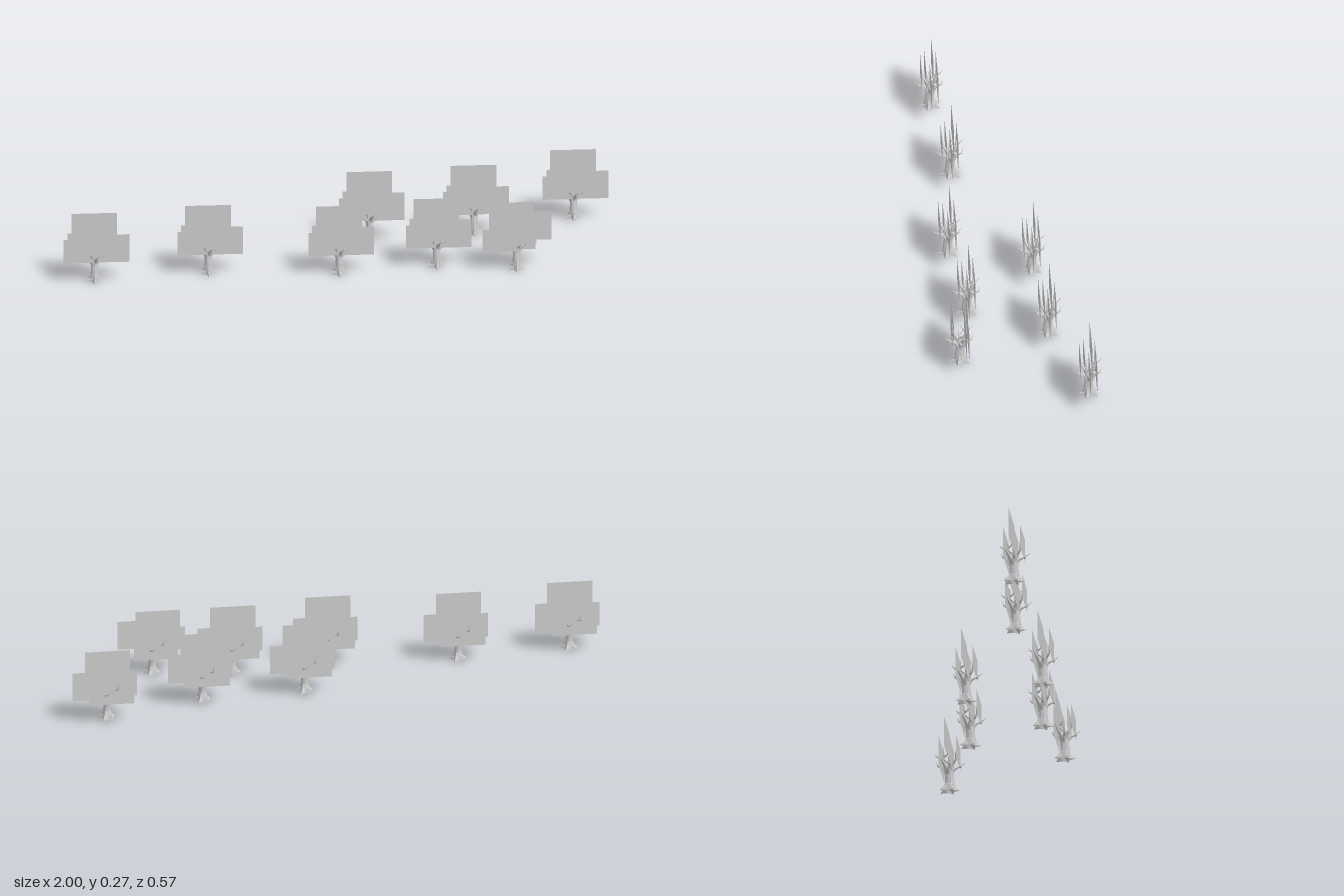
import * as THREE from 'three';
import { mergeGeometries } from 'three/addons/utils/BufferGeometryUtils.js';

const V = (p) => new THREE.Vector3(...p);

// Tapered limb: rings of `sides` corners along a curve, radius(t, corner) sets the section
function limb(points, radius, sides, steps) {
  const curve = new THREE.CatmullRomCurve3(points.map(V));
  const pos = [], index = [];
  const up = new THREE.Vector3(0, 1, 0);
  for (let i = 0; i <= steps; i++) {
    const t = i / steps;
    const c = curve.getPoint(t);
    const q = new THREE.Quaternion().setFromUnitVectors(up, curve.getTangent(t));
    for (let j = 0; j < sides; j++) {
      const a = (j / sides) * Math.PI * 2;
      const r = radius(t, j);
      const p = new THREE.Vector3(Math.sin(a) * r, 0, Math.cos(a) * r).applyQuaternion(q).add(c);
      pos.push(p.x, p.y, p.z);
      if (i < steps) {
        const k = (j + 1) % sides, b = i * sides, n = b + sides;
        index.push(b + j, b + k, n + k, b + j, n + k, n + j);
      }
    }
  }
  const g = new THREE.BufferGeometry();
  g.setAttribute('position', new THREE.Float32BufferAttribute(pos, 3));
  g.setIndex(index);
  return g;
}

// Trunk with a flared foot; every second corner spreads out as a pointed root
function trunkGeometry() {
  const flare = [0.027, 0.0205, 0.0175, 0.0165, 0.016, 0.016, 0.016, 0.010];
  const steps = flare.length - 1;
  const g = limb(
    [[0, 0, -0.003], [0, 0.035, 0], [0, 0.07, -0.003], [0, 0.105, -0.005]],
    (t, j) => {
      const root = Math.max(0, 1 - t * 4);
      return flare[Math.round(t * steps)] * (1 + (j % 2 ? -0.22 : 0.55) * root);
    }, 10, steps);
  // narrower across than deep, with the foot flat on the ground
  const p = g.attributes.position;
  for (let j = 0; j < p.count; j++) {
    p.setX(j, p.getX(j) * 0.8);
    if (j < 10) p.setY(j, 0);
  }
  return g;
}

// Main boughs: start height, bend point, tip
const boughs = [
  [0.078, [0.008, 0.096, 0.030], [0.013, 0.116, 0.056]],
  [0.088, [-0.018, 0.118, 0.024], [-0.022, 0.157, 0.030]],
  [0.078, [0.009, 0.096, -0.028], [0.015, 0.107, -0.048]],
  [0.088, [-0.028, 0.112, -0.026], [-0.045, 0.150, -0.033]],
  [0.08, [0.032, 0.098, 0.002], [0.057, 0.122, 0.005]],
  [0.078, [-0.030, 0.094, 0.002], [-0.055, 0.115, 0.000]],
  [0.092, [0.003, 0.133, -0.022], [-0.002, 0.171, -0.022]],
  [0.088, [0.028, 0.118, -0.014], [0.046, 0.152, -0.026]],
];

function boughGeometry() {
  const parts = [];
  boughs.forEach(([h, bend, tip], i) => {
    const path = [[bend[0] * 0.15, h - 0.014, bend[2] * 0.15 - 0.004],
      [bend[0] * 0.6, (h + bend[1]) / 2, bend[2] * 0.6 - 0.003], bend, tip];
    parts.push(limb(path, (t) => 0.0092 * (1 - t) + 0.0004, 5, 6));
    // one twig forks off, on alternating sides
    const s = i % 2 ? 1 : -1;
    const dx = tip[0] - bend[0], dz = tip[2] - bend[2];
    const l = 0.02 / Math.hypot(dx, dz);
    const at = bend.map((v, k) => v + (tip[k] - v) * 0.12);
    const mid = [at[0] + (dx * 0.5 - s * dz * 0.6) * l, at[1] + 0.004, at[2] + (dz * 0.5 + s * dx * 0.6) * l];
    const end = [at[0] + (dx * 0.6 - s * dz) * l, at[1] + 0.018, at[2] + (dz * 0.6 + s * dx) * l];
    parts.push(limb([at, mid, end], (t) => 0.004 * (1 - t) + 0.0003, 4, 3));
  });
  return mergeGeometries(parts);
}

// Foliage cards: left, right, bottom, top, depth
const cards = {
  crownCard: [-0.083, 0.082, 0.145, 0.258, -0.01],
  rightCard: [-0.112, 0.024, 0.075, 0.166, 0.012],
  leftCard: [-0.034, 0.126, 0.07, 0.177, -0.002],
  frontCard: [-0.067, 0.066, 0.107, 0.193, 0.03],
  backCard: [-0.096, 0.070, 0.06, 0.175, -0.028],
};
const shiftedCards = {
  crownCard: [-0.097, 0.064, 0.135, 0.247, -0.026],
  rightCard: [-0.123, 0.014, 0.075, 0.163, 0.022],
  leftCard: [-0.032, 0.128, 0.103, 0.21, -0.018],
  frontCard: [-0.064, 0.07, 0.107, 0.187, 0.03],
  backCard: [-0.09, 0.07, 0.062, 0.172, -0.03],
};

// Tree positions: x, ground height, z
const spots = [
  [-0.885, 0, 0.227], [-0.472, 0, 0.179], [-0.002, 0, 0.216], [0.352, 0, 0.169], [0.637, 0, 0.211],
  [0.127, 0.01, -0.079], [0.505, 0.01, -0.114], [0.872, 0.01, -0.238],
];

export function createModel() {
  const bark = new THREE.MeshStandardMaterial({ color: 0xcccccc, flatShading: true, side: THREE.DoubleSide });
  const leaf = new THREE.MeshStandardMaterial({ color: 0xcccccc, side: THREE.DoubleSide });
  const trunk = trunkGeometry();
  const branches = boughGeometry();
  for (const g of [trunk, branches]) g.computeVertexNormals();

  const model = new THREE.Group();
  model.name = 'treeGrove';
  spots.forEach((spot, i) => {
    const tree = new THREE.Group();
    tree.name = `tree${i + 1}`;
    tree.position.set(...spot);
    const add = (name, geometry, material) => {
      const m = new THREE.Mesh(geometry, material);
      m.name = name;
      tree.add(m);
      return m;
    };
    add('trunk', trunk, bark);
    add('branches', branches, bark);
    // one tree carries a slightly different spread of foliage
    for (const [name, [x0, x1, y0, y1, z]] of Object.entries(i === 4 ? shiftedCards : cards)) {
      add(name, new THREE.PlaneGeometry(x1 - x0, y1 - y0), leaf)
        .position.set((x0 + x1) / 2, (y0 + y1) / 2, z);
    }
    model.add(tree);
  });
  return model;
}
